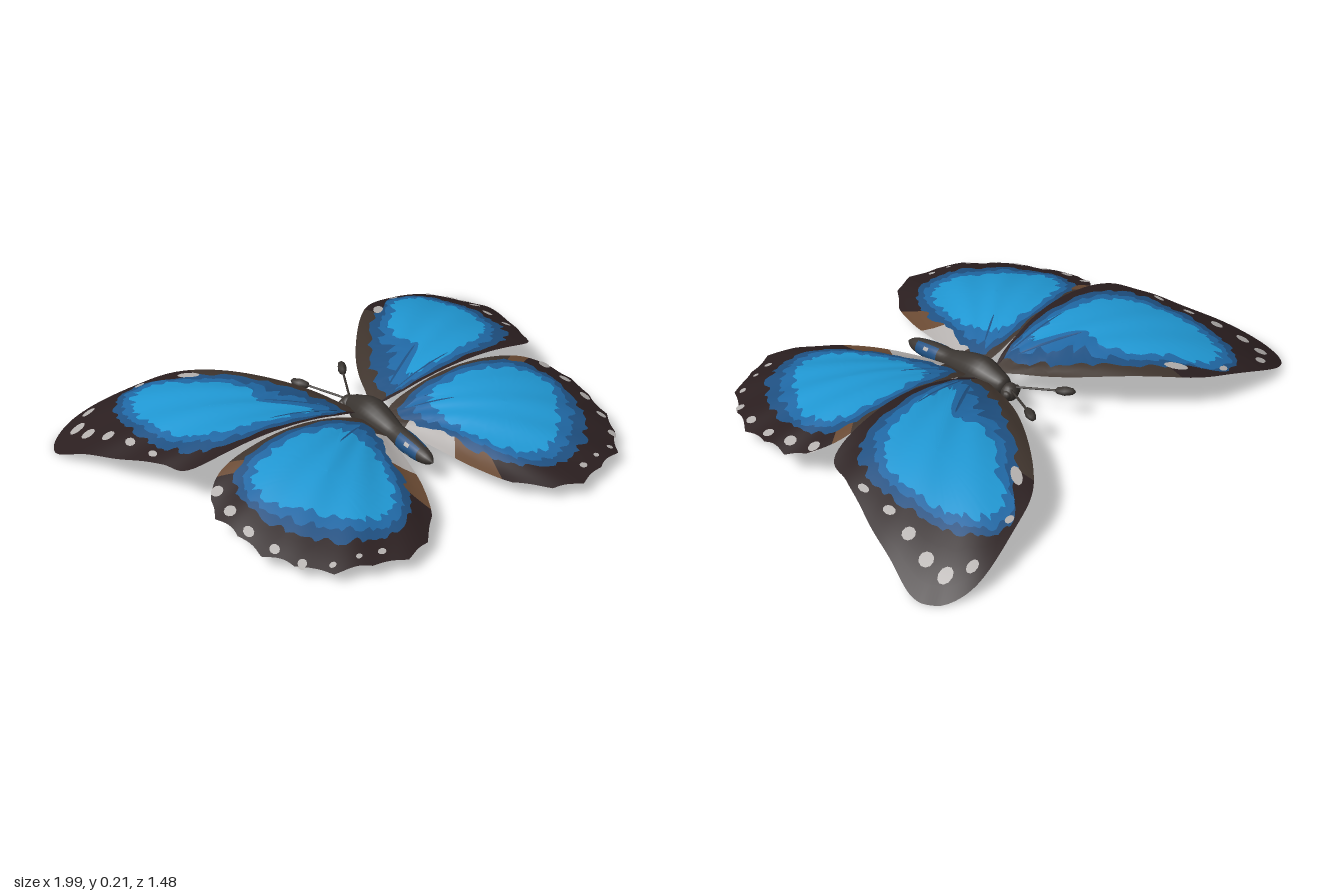
import * as THREE from 'three';

const mat = (name, color, side = THREE.DoubleSide) => {
  const m = new THREE.MeshStandardMaterial({ color, side });
  m.name = name;
  return m;
};

const PER = 8; // samples per control point of a loop

// Wing loops from the outer edge inwards: [x, z, x, z, ...], matching point for point
const FORE = {
  edge: [.05, -.04, .07, -.15, .135, -.29, .24, -.435, .375, -.585, .48, -.665, .62, -.71, .78, -.745, .885, -.74,
    .965, -.69, .995, -.6, .95, -.46, .91, -.345, .865, -.24, .82, -.13, .76, -.02, .51, .01, .24, 0],
  dark: [.09, -.04, .11, -.15, .17, -.27, .27, -.4, .38, -.53, .49, -.6, .59, -.685, .68, -.685, .73, -.64,
    .77, -.58, .79, -.5, .8, -.4, .8, -.3, .79, -.2, .75, -.11, .68, -.05, .5, -.015, .24, -.012],
  mid: [.13, -.04, .16, -.14, .22, -.24, .29, -.37, .39, -.49, .48, -.57, .55, -.66, .66, -.67, .71, -.62,
    .745, -.56, .765, -.49, .765, -.39, .76, -.29, .74, -.2, .69, -.13, .63, -.07, .48, -.035, .26, -.025],
  bright: [.2, -.05, .22, -.09, .35, -.19, .33, -.3, .37, -.42, .48, -.53, .55, -.63, .64, -.64, .69, -.6,
    .72, -.54, .74, -.47, .74, -.38, .73, -.28, .7, -.19, .65, -.14, .57, -.09, .45, -.06, .27, -.04],
  centre: [.55, -.3],
  scallop: [0, 0],
  // border sections: [first control point, last control point, colour]
  border: [[0, 4.4, 'umber'], [4.4, 18, 'black']],
  // marks: x, z, radius along x, radius along z, turn
  spots: [[.81, -.7, .026, .017, 0], [.885, -.65, .03, .024, 0], [.885, -.565, .026, .026, 0],
    [.857, -.46, .024, .024, 0], [.83, -.345, .016, .026, 0], [.815, -.21, .013, .024, 0],
    [.6, -.675, .02, .012, 0], [.445, -.57, .045, .02, -.9]],
  veins: [[.24, -.14, .13, .006, -.52], [.27, -.055, .14, .004, -.1]],
  height: (x, z) => .214 - (x < .45 ? .084 * ((.45 - x) / .4) ** 2 : .154 * ((x - .45) / .55) ** 2)
    - .09 * (Math.max(0, -z) / .74) ** 3,
};

const HIND = {
  edge: [.05, .02, .24, 0, .5, .01, .68, .035, .775, .11, .81, .19, .795, .31, .78, .43, .72, .54,
    .635, .65, .51, .695, .39, .735, .28, .695, .18, .59, .115, .46, .075, .33, .045, .18],
  dark: [.08, .04, .24, .012, .48, .025, .64, .062, .7, .14, .71, .22, .7, .33, .67, .43, .61, .52,
    .53, .59, .45, .62, .37, .63, .26, .58, .195, .5, .15, .4, .125, .27, .07, .15],
  mid: [.1, .06, .25, .03, .46, .04, .61, .08, .67, .15, .69, .22, .675, .31, .63, .41, .57, .49,
    .49, .55, .43, .585, .35, .595, .26, .54, .21, .45, .17, .36, .14, .25, .1, .15],
  bright: [.19, .07, .27, .05, .44, .055, .57, .09, .64, .14, .66, .21, .645, .3, .58, .38, .53, .45,
    .46, .52, .39, .55, .33, .55, .26, .5, .21, .41, .18, .32, .16, .23, .16, .15],
  centre: [.4, .28],
  scallop: [4, 13],
  border: [[0, 2.7, 'umber'], [2.7, 3.2, 'brown'], [3.2, 13.2, 'black'], [13.2, 14.6, 'brown'],
    [14.6, 16.3, 'white'], [16.3, 17, 'umber']],
  spots: [[.745, .105, .022, .022, 0], [.76, .21, .02, .026, 0], [.76, .325, .017, .024, 0],
    [.735, .445, .016, .022, 0], [.695, .55, .016, .017, 0], [.62, .62, .013, .011, 0],
    [.53, .645, .012, .009, 0], [.45, .665, .016, .012, 0]],
  veins: [[.19, .12, .08, .004, .5]],
  height: (x, z) => .2 - (x < .4 ? .075 * ((.4 - x) / .35) ** 2 : .17 * ((x - .4) / .55) ** 2)
    - .147 * (Math.max(0, z) / .73) ** 1.6,
};

// Wing height with shallow folds fanning out from the root
const surfaceY = (wing, x, z) => {
  const fold = .003 * Math.sin(Math.atan2(z, x) * 24) * Math.min(1, Math.hypot(x, z) * 2);
  return Math.max(.004, wing.height(x, z) + fold);
};

// Closed smooth loop through the control points
function sampleLoop(flat) {
  const pts = [];
  for (let i = 0; i < flat.length; i += 2) pts.push(new THREE.Vector3(flat[i], 0, flat[i + 1]));
  const curve = new THREE.CatmullRomCurve3(pts, true, 'catmullrom', .5);
  const n = pts.length * PER;
  return Array.from({ length: n }, (_, i) => curve.getPoint(i / n));
}

// Ragged colour boundary: pull each sample part of the way to the next loop
const ragged = (a, b, amount, f) => a.map((p, i) =>
  p.clone().lerp(b[i], amount * Math.abs(Math.sin(i * f) + .5 * Math.sin(i * f * 2.3))));

// Strip of wing surface between two loops, for samples from..to
function bandGeometry(wing, a, b, steps, side, from, to) {
  const pos = [], idx = [], n = a.length, w = steps + 1;
  for (let i = from; i <= to; i++) {
    for (let j = 0; j <= steps; j++) {
      const p = a[i % n].clone().lerp(b[i % n], j / steps);
      pos.push(p.x * side, surfaceY(wing, p.x, p.z), p.z);
    }
  }
  for (let q = 0; q < (to - from) * w; q++) {
    if (q % w < steps) idx.push(q, q + 1, q + w, q + 1, q + w + 1, q + w);
  }
  const g = new THREE.BufferGeometry();
  g.setAttribute('position', new THREE.Float32BufferAttribute(pos, 3));
  // the loops run the same way round, so mirroring decides which order faces up
  g.setIndex(side > 0 ? idx.reverse() : idx);
  g.computeVertexNormals();
  return g;
}

function buildWing(name, wing, side, mats) {
  const group = new THREE.Group();
  group.name = name;
  const add = (part, geo, m) => {
    const mesh = new THREE.Mesh(geo, m);
    mesh.name = part;
    group.add(mesh);
  };
  const raw = ['edge', 'dark', 'mid', 'bright'].map((k) => sampleLoop(wing[k]));
  const n = raw[0].length;
  const hub = raw[0].map(() => new THREE.Vector3(wing.centre[0], 0, wing.centre[1]));
  const [s0, s1] = wing.scallop.map((k) => k * PER);
  const edge = raw[0].map((p, i) =>
    p.clone().lerp(raw[1][i], i > s0 && i < s1 ? .13 * Math.abs(Math.sin(i * Math.PI / PER)) : 0));
  const dark = ragged(raw[1], raw[2], .4, .45);
  const mid = ragged(raw[2], raw[3], .4, .55);
  const bright = ragged(raw[3], hub, .08, .5);

  for (const [from, to, colour] of wing.border) {
    add('wingBorder', bandGeometry(wing, edge, dark, 4, side, Math.round(from * PER), Math.round(to * PER)), mats[colour]);
  }
  add('darkBlueBand', bandGeometry(wing, dark, mid, 2, side, 0, n), mats.darkBlue);
  add('midBlueBand', bandGeometry(wing, mid, bright, 3, side, 0, n), mats.midBlue);
  add('brightBlueField', bandGeometry(wing, bright, hub, 8, side, 0, n), mats.brightBlue);

  // marks draped just above and just below the wing
  const drape = (part, [sx, sz, rx, rz, turn], lift, m) => {
    const g = new THREE.CircleGeometry(1, 10).rotateX(-Math.PI / 2).scale(rx, 1, rz).rotateY(-turn);
    const p = g.attributes.position;
    for (let i = 0; i < p.count; i++) {
      const x = sx + p.getX(i), z = sz + p.getZ(i);
      p.setXYZ(i, x * side, surfaceY(wing, x, z) + lift, z);
    }
    if (side < 0) g.setIndex([...g.index.array].reverse());
    g.computeVertexNormals();
    add(part, g, m);
  };
  for (const lift of [.004, -.004]) {
    wing.spots.forEach((s) => drape('wingSpot', s, lift, mats.white));
    wing.veins.forEach((v) => drape('wingVein', v, lift, mats.darkBlue));
  }
  return group;
}

export function createModel() {
  const model = new THREE.Group();
  model.name = 'butterfly';
  const mats = {
    black: mat('border black brown', 0x2b1f20),
    umber: mat('wing root umber', 0x3f342d),
    brown: mat('margin brown', 0x6a4a33),
    white: mat('spot grey white', 0xb4b0ae),
    darkBlue: mat('dark blue', 0x1f5183),
    midBlue: mat('mid blue', 0x2069a6),
    brightBlue: mat('bright blue', 0x2099d5),
    body: mat('body grey', 0x3b3632, THREE.FrontSide),
  };
  for (const side of [1, -1]) {
    const label = side > 0 ? 'left' : 'right';
    model.add(buildWing(label + 'Forewing', FORE, side, mats));
    model.add(buildWing(label + 'Hindwing', HIND, side, mats));
  }

  const add = (name, geo, x = 0, y = 0, z = 0, material = mats.body) => {
    const m = new THREE.Mesh(geo, material);
    m.name = name;
    m.position.set(x, y, z);
    model.add(m);
    return m;
  };

  // thorax and abdomen: one profile of [radius, z], taller at the thorax
  const profile = [[0, -.14], [.03, -.13], [.045, -.09], [.06, -.03], [.058, .03], [.046, .1], [.037, .15],
    [.039, .21], [.034, .28], [.022, .335], [0, .365]].map(([r, z]) => new THREE.Vector2(r, z));
  const rows = 30, sides = 16;
  const outline = new THREE.SplineCurve(profile).getPoints(rows).map((p) => new THREE.Vector2(Math.max(0, p.x), p.y));
  const bodyGeo = new THREE.LatheGeometry(outline, sides).rotateX(Math.PI / 2);
  const bp = bodyGeo.attributes.position;
  for (let i = 0; i < bp.count; i++) {
    const z = bp.getZ(i);
    bp.setY(i, .112 - .06 * Math.max(0, z - .1) + bp.getY(i) * (1 + .2 * Math.exp(-((z / .09) ** 2))));
  }
  bodyGeo.computeVertexNormals();
  // abdomen flanks are blue with pale patches
  for (let i = 0; i < sides; i++) {
    for (let j = 0; j < rows; j++) {
      const z = outline[j].y, flank = i % 8 > 0 && i % 8 < 7;
      const pale = z > .21 && z < .245 && [2, 5, 10, 13].includes(i);
      bodyGeo.addGroup((i * rows + j) * 6, 6, pale ? 2 : flank && z > .17 && z < .3 ? 1 : 0);
    }
  }
  add('body', bodyGeo, 0, 0, 0, [mats.body, mats.darkBlue, mats.white]);

  // head, eyes and antennae
  add('head', new THREE.SphereGeometry(.035, 14, 10), 0, .096, -.15);
  for (const side of [1, -1]) {
    add('eye', new THREE.SphereGeometry(.018, 10, 8), side * .025, .098, -.158);
    const a = new THREE.Vector3(side * .014, .118, -.17);
    const b = new THREE.Vector3(side * .08, .13, -.3);
    const c = new THREE.Vector3(side * .115, .135, -.365);
    add('antennaStalk', new THREE.TubeGeometry(new THREE.LineCurve3(a, b), 4, .0045, 6));
    const club = add('antennaClub', new THREE.SphereGeometry(1, 6, 4));
    club.scale.set(.019, b.distanceTo(c) / 2 + .004, .019);
    club.position.copy(b).lerp(c, .5);
    club.quaternion.setFromUnitVectors(new THREE.Vector3(0, 1, 0), c.clone().sub(b).normalize());
  }
  return model;
}
